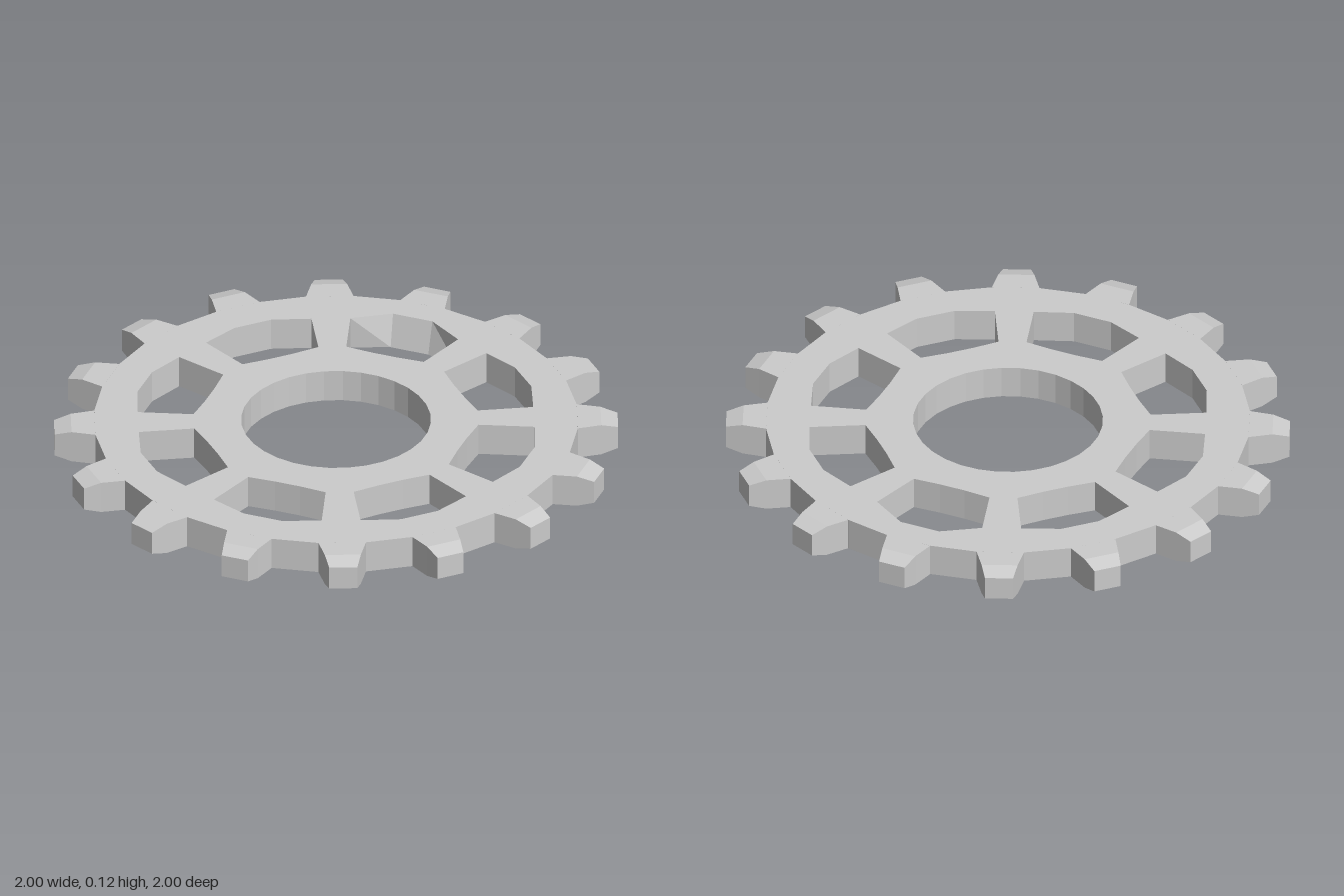
import * as THREE from 'three';

const HEIGHT = 0.12;
const STEP = Math.PI / 16; // the wheel is laid out on 32 divisions
const material = new THREE.MeshStandardMaterial({ color: 0xcccccc, flatShading: true });

const polar = (r, k) => new THREE.Vector2(r * Math.cos(k * STEP), r * Math.sin(k * STEP));
const ringPoints = (r) => Array.from({ length: 32 }, (_, k) => polar(r, k));

// Flat wheel: rim, eight spokes and hub around a round bore
function wheelGeometry() {
  const shape = new THREE.Shape(ringPoints(0.86));
  shape.holes.push(new THREE.Path(ringPoints(0.337).reverse()));
  for (let i = 0; i < 8; i++) {
    const k = 6 + i * 4;
    const outer = [0.705, 0.73, 0.73, 0.705].map((r, j) => polar(r, k + j));
    const inner = [0.507, 0.482, 0.482, 0.507].map((r, j) => polar(r, k + j));
    shape.holes.push(new THREE.Path([...inner, ...outer.reverse()]));
  }
  const geo = new THREE.ExtrudeGeometry(shape, { depth: HEIGHT, bevelEnabled: false });
  geo.rotateX(-Math.PI / 2);

  // One window has its outer wall leaning outwards at the top
  const p = geo.attributes.position;
  for (let i = 0; i < p.count; i++) {
    const x = p.getX(i), z = p.getZ(i), r = Math.hypot(x, z);
    const k = Math.atan2(-z, x) / STEP;
    if (p.getY(i) > HEIGHT / 2 && Math.abs(r - 0.73) < 0.01 && k > 2.9 && k < 4.1) {
      p.setX(i, x * 0.762 / r);
      p.setZ(i, z * 0.762 / r);
    }
  }
  geo.computeVertexNormals();
  return geo;
}

// Tapered tooth along +x, with its tip chamfered above and below
function toothGeometry() {
  const sections = [
    { r: 0.856, half: 0.0843, y: HEIGHT / 2 },
    { r: 0.94, half: 0.064, y: HEIGHT / 2 },
    { r: 1.0, half: 0.05, y: HEIGHT / 2 - 0.017 },
  ];
  const geo = new THREE.BoxGeometry(2, 2, 2, 2, 1, 1).toNonIndexed();
  const p = geo.attributes.position;
  for (let i = 0; i < p.count; i++) {
    const s = sections[Math.round(p.getX(i)) + 1];
    p.setXYZ(i, s.r, HEIGHT / 2 + p.getY(i) * s.y, p.getZ(i) * s.half);
  }
  geo.computeVertexNormals();
  return geo;
}

export function createModel() {
  const model = new THREE.Group();
  model.name = 'gearWheel';

  const wheel = new THREE.Mesh(wheelGeometry(), material);
  wheel.name = 'wheel';
  model.add(wheel);

  // Sixteen teeth, one on every second rim facet
  const teeth = new THREE.Group();
  teeth.name = 'teeth';
  const tooth = toothGeometry();
  for (let i = 0; i < 16; i++) {
    const mesh = new THREE.Mesh(tooth, material);
    mesh.name = 'tooth';
    mesh.rotation.y = (i * 2 + 1.5) * STEP;
    teeth.add(mesh);
  }
  model.add(teeth);
  return model;
}
